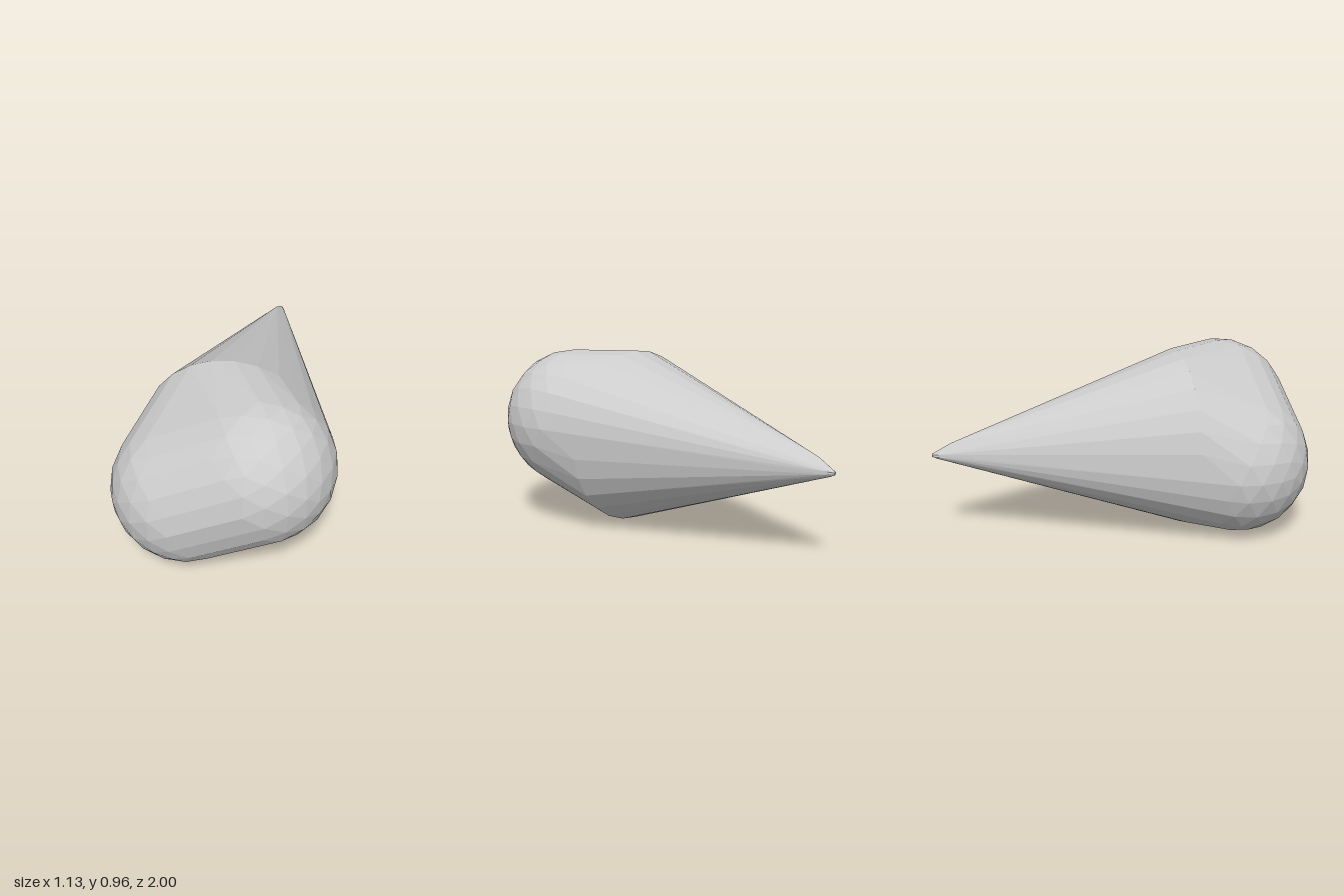
import * as THREE from 'three';
import { ConvexGeometry } from 'three/addons/geometries/ConvexGeometry.js';

const AXIS_Y = 0.485;

// Ring of points facing along z
function ring(radius, z, count) {
  return Array.from({ length: count }, (_, i) => {
    const a = ((i + 0.5) / count) * Math.PI * 2;
    return new THREE.Vector3(Math.cos(a) * radius, AXIS_Y + Math.sin(a) * radius, z);
  });
}

// Faceted ball of points
function ball(x, y, z, radius) {
  const pos = new THREE.IcosahedronGeometry(radius, 3).attributes.position;
  const unique = new Map();
  for (let i = 0; i < pos.count; i++) {
    const p = new THREE.Vector3().fromBufferAttribute(pos, i);
    unique.set(p.toArray().map((v) => Math.round(v * 1e4)).join(), p.add(new THREE.Vector3(x, y, z)));
  }
  return [...unique.values()];
}

export function createModel() {
  const group = new THREE.Group();
  group.name = 'taperedHull';

  const points = [
    // two overlapping rounded lobes, tilted across the front
    ...ball(0.183, 0.578, 0.615, 0.384),
    ...ball(-0.183, 0.384, 0.615, 0.384),
    // round shoulder where the cone starts
    ...ring(0.478, 0.32, 26),
    // blunt tip at the back with a slight ridge on top
    ...ring(0.02, -0.975, 10),
    ...ring(0.008, -1, 6),
    new THREE.Vector3(-0.01, 0.548, -0.9),
  ];

  const shell = new THREE.Mesh(
    new ConvexGeometry(points),
    new THREE.MeshStandardMaterial({ color: 0xcccccc, flatShading: true })
  );
  shell.name = 'shell';
  group.add(shell);
  return group;
}
